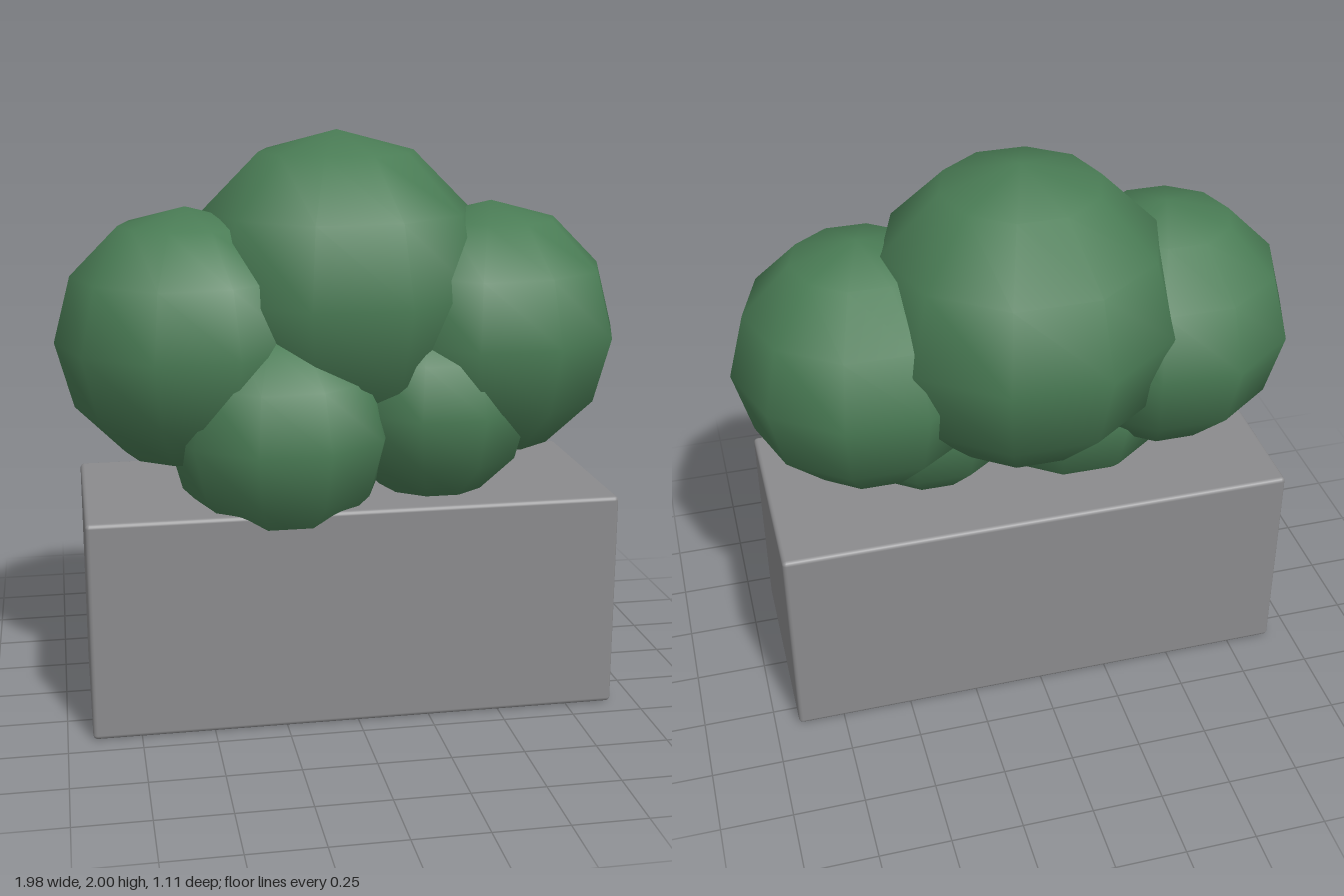
import * as THREE from 'three';
import { RoundedBoxGeometry } from 'three/addons/geometries/RoundedBoxGeometry.js';

export function createModel() {
  const model = new THREE.Group();
  model.name = 'planterWithShrub';

  const stone = new THREE.MeshStandardMaterial({ color: 0x8b8b8d });
  stone.name = 'grey stone';
  const leaf = new THREE.MeshStandardMaterial({ color: 0x4a7c55 });
  leaf.name = 'leaf green';

  // Rectangular planter with slightly softened edges
  const planter = new THREE.Mesh(new RoundedBoxGeometry(1.83, 0.765, 0.755, 2, 0.015), stone);
  planter.name = 'planter';
  planter.position.set(0, 0.3825, 0.042);
  model.add(planter);

  // Foliage: overlapping low-segment spheres with smooth normals
  const shrub = new THREE.Group();
  shrub.name = 'shrub';
  model.add(shrub);
  const addClump = (name, radius, x, y, z) => {
    const clump = new THREE.Mesh(new THREE.SphereGeometry(radius, 10, 6), leaf);
    clump.name = name;
    clump.position.set(x, y, z);
    shrub.add(clump);
  };
  addClump('crownClump', 0.545, 0, 1.455, -0.037);
  for (const side of [-1, 1]) {
    addClump(side > 0 ? 'leftClump' : 'rightClump', 0.455, side * 0.535, 1.3, 0.04);
  }
  addClump('lowerRightClump', 0.392, -0.235, 1.0, 0.183);
  addClump('lowerLeftClump', 0.36, 0.315, 1.07, 0.12);

  return model;
}
